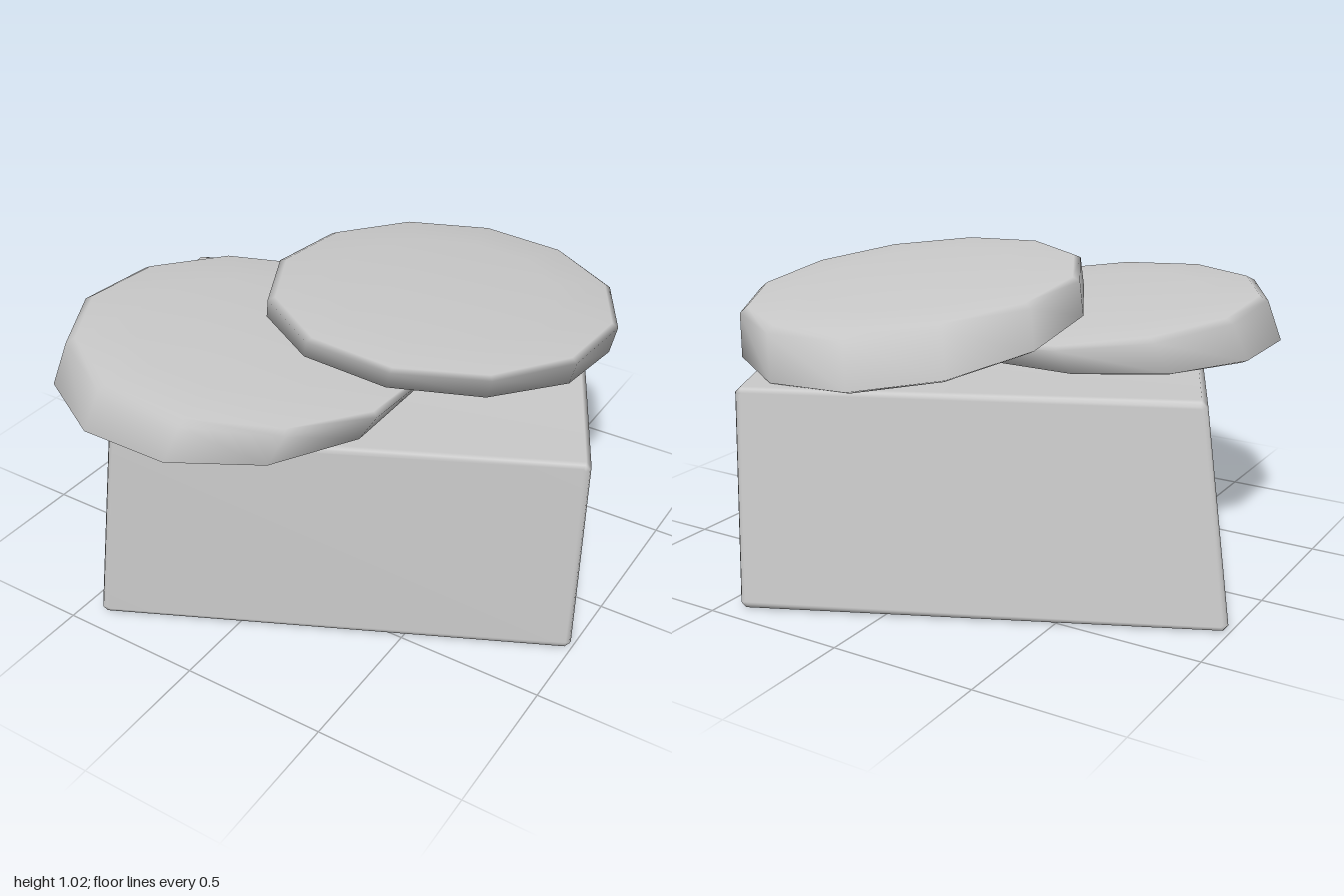
import * as THREE from 'three';
import { mergeVertices } from 'three/addons/utils/BufferGeometryUtils.js';

const material = new THREE.MeshStandardMaterial({ color: 0xcccccc });

function smooth(geometry) {
  geometry.deleteAttribute('normal');
  geometry.deleteAttribute('uv');
  const merged = mergeVertices(geometry, 1e-4);
  merged.computeVertexNormals();
  return merged;
}

// Bevelled block, warped so that its corners land on the given plan corners
function blockGeometry() {
  const W = 1.57, H = 0.735, D = 1.32, b = 0.018;
  const profile = new THREE.Shape([
    [b, 0], [W - b, 0], [W, b], [W, H - b], [W - b, H], [b, H], [0, H - b], [0, b],
  ].map(([x, y]) => new THREE.Vector2(x, y)));
  const geometry = new THREE.ExtrudeGeometry(profile, {
    depth: D - 2 * b, steps: 2, bevelThickness: b, bevelSize: b, bevelOffset: -b, bevelSegments: 2,
  });
  // plan corners (x, z): left, back, front, right
  const low = [[-1, -0.28], [0.43, -0.945], [-0.43, 0.935], [1, 0.25]];
  const high = [[-0.88, -0.25], [0.455, -0.885], [-0.35, 0.89], [1, 0.24]];
  const mix = THREE.MathUtils.lerp;
  const p = geometry.attributes.position;
  for (let i = 0; i < p.count; i++) {
    const u = p.getX(i) / W, t = p.getY(i) / H, v = (p.getZ(i) + b) / D;
    const [x, z] = [0, 1].map((k) => {
      const c = low.map((corner, n) => mix(corner[k], high[n][k], t));
      return mix(mix(c[0], c[1], u), mix(c[2], c[3], u), v);
    });
    // the top sags a little halfway along the short sides
    p.setXYZ(i, x, p.getY(i) - 0.015 * t * 4 * v * (1 - v), z);
  }
  return smooth(geometry);
}

// Twelve-sided pad between two tilted planes: { x, y, z, slopeX, slopeZ }
function padGeometry(bottom, top, rx, rz, dome) {
  const N = 12;
  // [height from bottom to top plane, radius factor]
  const rings = [[0, 0], [0, 0.6], [0, 0.95], [0.08, 1], [0.9, 1], [1, 0.96], [1, 0.65], [1, 0.33], [1, 0]];
  const pos = [], index = [];
  const height = (plane, x, z) => plane.y + plane.slopeX * (x - plane.x) + plane.slopeZ * (z - plane.z);
  rings.forEach(([t, r], i) => {
    for (let j = 0; j < N; j++) {
      const a = ((j + 0.5) / N) * Math.PI * 2;
      const x = THREE.MathUtils.lerp(bottom.x, top.x, t) + rx * r * Math.cos(a);
      const z = THREE.MathUtils.lerp(bottom.z, top.z, t) + rz * r * Math.sin(a);
      const y = THREE.MathUtils.lerp(height(bottom, x, z), height(top, x, z), t);
      pos.push(x, y + (t === 1 ? dome * (1 - r * r) : 0), z);
      if (i === rings.length - 1) continue;
      const q = i * N + j, n = i * N + ((j + 1) % N);
      if (i < rings.length - 2) index.push(q, q + N, n + N);
      if (i > 0) index.push(q, n + N, n);
    }
  });
  const geometry = new THREE.BufferGeometry();
  geometry.setAttribute('position', new THREE.Float32BufferAttribute(pos, 3));
  geometry.setIndex(index);
  return smooth(geometry);
}

export function createModel() {
  const group = new THREE.Group();
  const add = (name, geometry) => {
    const mesh = new THREE.Mesh(geometry, material);
    mesh.name = name;
    group.add(mesh);
  };

  add('block', blockGeometry());

  // lower pad rests on the block, thinning toward the back left
  add('lowerPad', padGeometry(
    { x: -0.25, y: 0.738, z: 0.355, slopeX: 0, slopeZ: 0 },
    { x: -0.2, y: 0.86, z: 0.31, slopeX: -0.075, slopeZ: 0.065 },
    0.605, 0.605, 0.02));

  // upper pad leans on the lower one, thinning toward the front
  add('upperPad', padGeometry(
    { x: 0.235, y: 0.82, z: -0.18, slopeX: -0.05, slopeZ: 0.15 },
    { x: 0.28, y: 0.96, z: -0.13, slopeX: -0.05, slopeZ: 0.086 },
    0.58, 0.635, 0.02));

  return group;
}
